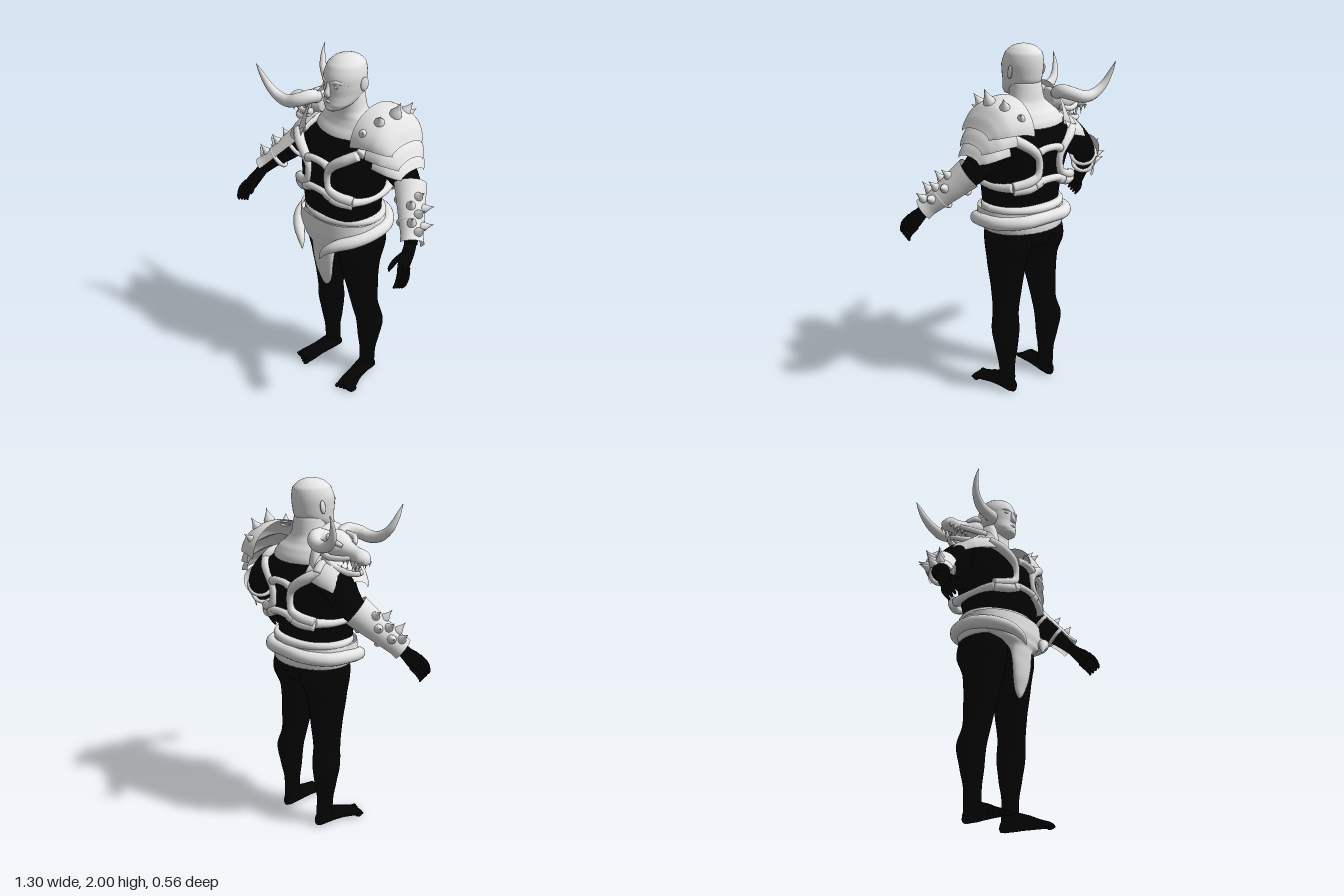
import * as THREE from 'three';

const V = (x, y, z) => new THREE.Vector3(x, y, z);
const X = V(1, 0, 0), Y = V(0, 1, 0), Z = V(0, 0, 1);

// Smooth skin over points [x, y, z, a, b]: b runs along ref, a across it.
// A fixed axis keeps the rings parallel; arc < 2PI leaves an open shell centred on ref.
function loft(points, { ref, axis, arc = Math.PI * 2, power = 1, n = 24, steps = points.length * 5, closed = false } = {}) {
  const path = new THREE.CatmullRomCurve3(points.map(p => V(p[0], p[1], p[2])), closed);
  const radii = new THREE.CatmullRomCurve3(points.map(p => V(p[3], p[4] ?? p[3], 0)), closed, 'catmullrom', 0.4);
  const frames = ref ? null : path.computeFrenetFrames(steps, closed);
  const open = arc < 6.28, row = open ? n + 1 : n, pos = [], idx = [];
  const soft = c => Math.sign(c) * Math.abs(c) ** power;
  for (let i = 0; i <= steps; i++) {
    const f = i / steps, c = path.getPointAt(f), r = radii.getPoint(path.getUtoTmapping(f, 0));
    let u, v;
    if (ref) {
      const t = axis ? axis.clone() : path.getTangentAt(f);
      u = ref.clone().cross(t).normalize();
      v = t.clone().cross(u).normalize();
    } else { u = frames.normals[i]; v = frames.binormals[i]; }
    for (let j = 0; j < row; j++) {
      const w = Math.PI / 2 + (j / n - 0.5) * arc;
      const p = c.clone().addScaledVector(u, soft(Math.cos(w)) * Math.max(r.x, 0)).addScaledVector(v, soft(Math.sin(w)) * Math.max(r.y, 0));
      pos.push(p.x, p.y, p.z);
    }
  }
  for (let i = 0; i < steps; i++) for (let j = 0; j < n; j++) {
    const a = i * row + j, b = i * row + (j + 1) % row;
    idx.push(a, b, a + row, b, b + row, a + row);
  }
  if (!open && !closed) { // end caps
    const s = pos.length / 3, last = steps * row, e = points[points.length - 1];
    pos.push(...points[0].slice(0, 3), ...e.slice(0, 3));
    for (let j = 0; j < n; j++) {
      const k = (j + 1) % n;
      idx.push(s, k, j, s + 1, last + j, last + k);
    }
  }
  const g = new THREE.BufferGeometry();
  g.setAttribute('position', new THREE.Float32BufferAttribute(pos, 3));
  g.setIndex(idx);
  g.computeVertexNormals();
  return g;
}

export function createModel() {
  const root = new THREE.Group();
  const black = new THREE.MeshStandardMaterial({ color: 0x030303, side: THREE.DoubleSide });
  black.name = 'black suit';
  const grey = new THREE.MeshStandardMaterial({ color: 0xe4e4e4, side: THREE.DoubleSide });
  grey.name = 'pale grey';
  const add = (name, geo, mat = grey) => {
    const m = new THREE.Mesh(geo, mat);
    m.name = name;
    root.add(m);
    return m;
  };
  const flip = (pts, s) => pts.map(p => [p[0] * s, ...p.slice(1)]);
  const upright = { ref: Z, axis: Y, n: 36 };
  const ball = (name, p, r, mat) => {
    const m = add(name, new THREE.SphereGeometry(1, 20, 14), mat);
    m.position.set(...p);
    m.scale.set(...r);
    return m;
  };
  const spikeShape = new THREE.LatheGeometry([[0.5, -0.1], [0.48, 0.12], [0.3, 0.36], [0.12, 0.68], [0, 1]].map(p => new THREE.Vector2(...p)), 12);
  const spike = (name, p, dir, w, h) => {
    const m = add(name, spikeShape);
    m.position.copy(p);
    m.quaternion.setFromUnitVectors(Y, dir.clone().normalize());
    m.scale.set(w, h, w);
  };

  // Torso and pelvis, then the bare neck and upper chest
  add('torso', loft([[0, 0.9, -0.01, 0.19, 0.13], [0, 0.97, -0.01, 0.225, 0.165], [0, 1.15, 0.015, 0.222, 0.175], [0, 1.3, 0.008, 0.232, 0.197],
    [0, 1.42, -0.01, 0.25, 0.206], [0, 1.5, -0.028, 0.262, 0.2], [0, 1.56, -0.04, 0.245, 0.168], [0, 1.595, -0.045, 0.19, 0.118]], { ...upright, power: 0.85 }), black);
  add('neckAndChest', loft([[0, 1.575, -0.045, 0.222, 0.145], [0, 1.6, -0.048, 0.215, 0.138], [0, 1.64, -0.05, 0.185, 0.115], [0, 1.675, -0.042, 0.143, 0.095],
    [0, 1.71, -0.035, 0.104, 0.086], [0, 1.765, -0.028, 0.092, 0.085], [0, 1.8, -0.022, 0.087, 0.085], [0, 1.83, -0.015, 0.075, 0.075]], upright));

  // Head
  add('head', loft([[0, 1.722, 0.085, 0.022, 0.022], [0, 1.735, 0.072, 0.053, 0.048], [0, 1.765, 0.035, 0.082, 0.087], [0, 1.8, 0.006, 0.094, 0.111], [0, 1.85, 0.0, 0.102, 0.119],
    [0, 1.9, -0.004, 0.105, 0.12], [0, 1.95, -0.012, 0.093, 0.107], [0, 1.982, -0.014, 0.063, 0.073], [0, 1.995, -0.014, 0.032, 0.037], [0, 2, -0.014, 0.003, 0.003]], upright));
  add('nose', loft([[0, 1.878, 0.108, 0.01], [0, 1.845, 0.119, 0.013], [0, 1.818, 0.127, 0.019, 0.014], [0, 1.806, 0.115, 0.014]], { ref: Z, n: 14 }));
  add('lips', loft([[-0.034, 1.774, 0.102, 0.003], [0, 1.778, 0.119, 0.008, 0.008], [0.034, 1.774, 0.102, 0.003]], { n: 10 }));
  ball('chin', [0, 1.742, 0.1], [0.034, 0.02, 0.024]);
  for (const s of [1, -1]) {
    add('brow', loft(flip([[0.008, 1.876, 0.113, 0.008], [0.045, 1.884, 0.102, 0.011], [0.085, 1.87, 0.06, 0.005]], s), { n: 10 }));
    ball('eye', [s * 0.037, 1.857, 0.103], [0.017, 0.007, 0.01]);
    const ear = ball('ear', [s * 0.11, 1.86, -0.03], [0.01, 0.036, 0.022]);
    ear.rotation.set(-0.2, s * -0.35, 0);
  }

  // Limbs, mirrored
  const elbow = V(0.41, 1.37, -0.06), wrist = V(0.575, 1.185, 0.1);
  for (const s of [1, -1]) {
    add('leg', loft(flip([[0.115, 1.02, -0.01, 0.11, 0.15], [0.118, 0.93, -0.014, 0.113, 0.16], [0.118, 0.8, -0.002, 0.108, 0.117], [0.132, 0.63, -0.013, 0.08, 0.096], [0.145, 0.51, -0.022, 0.068, 0.084],
      [0.163, 0.4, -0.042, 0.08, 0.079], [0.157, 0.28, -0.042, 0.066, 0.063], [0.153, 0.18, -0.04, 0.05, 0.047], [0.15, 0.09, -0.04, 0.041, 0.052], [0.15, 0.03, -0.035, 0.042, 0.055]], s), upright), black);
    add('foot', loft(flip([[0.147, 0.025, -0.097, 0.02, 0.02], [0.148, 0.036, -0.075, 0.038, 0.034], [0.152, 0.05, -0.01, 0.042, 0.05], [0.163, 0.04, 0.07, 0.045, 0.04],
      [0.178, 0.025, 0.14, 0.058, 0.025], [0.187, 0.017, 0.185, 0.06, 0.017]], s), { ref: Y, axis: Z }), black);
    for (let i = 0; i < 5; i++)
      ball('toe', [s * (0.143 + i * 0.023), 0.014, 0.197 - i * 0.009], [0.0135 - i * 0.0005, 0.013, 0.024], black);
    add('arm', loft(flip([[0.17, 1.51, -0.045, 0.09, 0.085], [0.26, 1.49, -0.06, 0.095, 0.09], [0.34, 1.43, -0.075, 0.08, 0.08], [0.41, 1.37, -0.06, 0.065, 0.064],
      [0.47, 1.305, -0.005, 0.062, 0.06], [0.54, 1.23, 0.065, 0.043, 0.042], [0.578, 1.18, 0.105, 0.034, 0.032]], s), { ref: Z }), black);
    add('palm', loft(flip([[0.57, 1.195, 0.095, 0.03, 0.03], [0.588, 1.15, 0.135, 0.036, 0.03], [0.6, 1.11, 0.175, 0.046, 0.024], [0.608, 1.085, 0.195, 0.038, 0.018]], s), { ref: X }), black);
    for (let i = 0; i < 4; i++) { // fingers fan across the palm
      const k = i - 1.5, y = k * 0.016, z = k * 0.02;
      add('finger', loft(flip([[0.605, 1.1 + y, 0.182 + z, 0.013], [0.627, 1.06 + y, 0.212 + z, 0.0125], [0.628, 1.022 + y * 0.6, 0.232 + z, 0.011], [0.618, 1.002 + y * 0.6, 0.24 + z, 0.005]], s), { n: 10 }), black);
    }
    add('thumb', loft(flip([[0.578, 1.15, 0.15, 0.015], [0.56, 1.115, 0.2, 0.015], [0.55, 1.08, 0.225, 0.011], [0.55, 1.065, 0.232, 0.004]], s), { n: 10 }), black);

    // Spiked bracer with two straps
    const e = elbow.clone().multiply(V(s, 1, 1)), w = wrist.clone().multiply(V(s, 1, 1)), d = w.clone().sub(e).normalize();
    const out = V(s * 0.75, 0.66, -0.05).addScaledVector(d, -V(s * 0.75, 0.66, -0.05).dot(d)).normalize();
    const side = d.clone().cross(out);
    const at = (f, r) => [...e.clone().lerp(w, f).toArray(), r, r];
    add('bracer', loft([at(-0.06, 0.092), at(0.2, 0.083), at(0.6, 0.071), at(0.88, 0.062), at(1.02, 0.066)], { ref: out, axis: d, arc: 3.4 }));
    for (const f of [0.2, 0.62]) {
      const strap = add('bracerStrap', new THREE.TorusGeometry(0.073 - f * 0.02, 0.012, 10, 28));
      strap.position.copy(e).lerp(w, f);
      strap.quaternion.setFromUnitVectors(Z, d);
    }
    for (const [f, a] of [[0.25, 0.1], [0.42, 0.62], [0.42, -0.5], [0.56, 0.08], [0.72, 0.6], [0.74, -0.5], [0.87, 0.05]]) {
      const dir = out.clone().multiplyScalar(Math.cos(a)).addScaledVector(side, Math.sin(a));
      spike('bracerSpike', e.clone().lerp(w, f).addScaledVector(dir, 0.083 - f * 0.022), dir, 0.048, 0.06);
    }

    // Tusk wrapped round the hip, from the back to a drooping tip in front
    add('hipTusk', loft(flip([[-0.02, 1.085, -0.2, 0.034], [0.05, 1.085, -0.2, 0.035], [0.14, 1.08, -0.18, 0.036], [0.23, 1.07, -0.09, 0.037], [0.25, 1.065, 0.03, 0.037],
      [0.215, 1.045, 0.14, 0.036], [0.145, 1.015, 0.215, 0.031], [0.09, 0.97, 0.25, 0.019], [0.07, 0.925, 0.262, 0.003]], s), { n: 18 }));
  }

  // Belt and loincloth
  add('beltBand', loft([[0, 1.155, 0, 0.238, 0.19], [0, 1.1, 0, 0.25, 0.2], [0, 1.04, 0, 0.252, 0.205], [0, 1.005, -0.005, 0.24, 0.198]], upright));
  const loop = (y, rx, rz, r) => Array.from({ length: 12 }, (_, i) => [rx * Math.cos(i * Math.PI / 6), y, rz * Math.sin(i * Math.PI / 6), r]);
  add('beltRoll', loft(loop(1.135, 0.226, 0.182, 0.022), { closed: true, n: 14 }));
  add('loincloth', loft([[0, 1.13, 0.02, 0.25, 0.195], [0, 1.05, 0.04, 0.245, 0.18], [0, 0.99, 0.1, 0.175, 0.115], [0, 0.945, 0.15, 0.092, 0.055],
    [0, 0.87, 0.165, 0.077, 0.034], [0, 0.78, 0.16, 0.062, 0.03], [0, 0.715, 0.152, 0.042, 0.022], [0, 0.68, 0.15, 0.022, 0.014], [0, 0.665, 0.15, 0.003, 0.003]], { ref: Z, axis: Y.clone().negate(), arc: Math.PI, power: 0.9 }));

  // Bone harness: bowed bones framing a small open centre, front and back
  for (const f of [1, -1]) {
    const on = ([x, y, r]) => [x, y, (f > 0 ? 0.01 : -0.022) + f * (f > 0 ? 0.194 : 0.206) * Math.max(0, 1 - Math.abs(x / 0.27) ** 2.2) ** 0.45, r];
    const bone = pts => add('harnessBone', loft(pts.map(on), { n: 14 }));
    bone([[-0.075, 1.465, 0.024], [-0.04, 1.478, 0.02], [0.04, 1.478, 0.02], [0.075, 1.465, 0.024]]);
    bone([[-0.1, 1.29, 0.027], [-0.05, 1.308, 0.021], [0.05, 1.308, 0.021], [0.1, 1.29, 0.027]]);
    for (const s of [1, -1]) {
      bone(flip([[0.225, 1.555, 0.028], [0.17, 1.522, 0.029], [0.105, 1.475, 0.026], [0.076, 1.43, 0.02], [0.072, 1.375, 0.019], [0.085, 1.335, 0.022], [0.135, 1.308, 0.026], [0.205, 1.288, 0.027]], s));
      bone(flip([[0.06, 1.3, 0.022], [0.13, 1.275, 0.026], [0.205, 1.265, 0.025]], s));
    }
  }
  for (const s of [1, -1]) {
    add('ribStrap', loft(flip([[0.19, 1.277, 0.145, 0.027], [0.215, 1.27, 0.08, 0.023], [0.223, 1.265, 0, 0.021], [0.215, 1.268, -0.08, 0.023], [0.19, 1.277, -0.15, 0.027]], s), { n: 12 }));
    add('shoulderStrap', loft(flip([[0.22, 1.55, 0.115, 0.027], [0.21, 1.585, 0.05, 0.026], [0.205, 1.598, -0.04, 0.026], [0.21, 1.585, -0.13, 0.026], [0.22, 1.55, -0.16, 0.027]], s), { n: 12 }));
  }

  // Layered arches for the shoulders: [x, base y, centre z, half depth, height]
  const arch = (name, pts) => add(name, loft(pts, { ref: Y, axis: pts[0][0] > 0 ? X : X.clone().negate(), arc: Math.PI, n: 32 }));
  arch('pauldronTop', [[0.16, 1.575, -0.08, 0.205, 0.185], [0.22, 1.59, -0.08, 0.2, 0.165], [0.295, 1.59, -0.08, 0.182, 0.138], [0.345, 1.58, -0.075, 0.15, 0.09], [0.375, 1.57, -0.07, 0.11, 0.04]]);
  arch('pauldronMiddle', [[0.25, 1.535, -0.075, 0.185, 0.135], [0.33, 1.525, -0.075, 0.165, 0.105], [0.375, 1.51, -0.075, 0.13, 0.075], [0.405, 1.495, -0.07, 0.09, 0.04]]);
  arch('pauldronLower', [[0.28, 1.485, -0.075, 0.165, 0.115], [0.35, 1.47, -0.075, 0.148, 0.09], [0.395, 1.455, -0.075, 0.12, 0.06], [0.42, 1.445, -0.07, 0.085, 0.03]]);
  for (const [x, a, r] of [[0.22, 0.5, 0.05], [0.265, 1.0, 0.055], [0.285, 1.55, 0.065], [0.265, 2.1, 0.055], [0.22, 2.6, 0.05]])
    spike('pauldronSpike', V(x, 1.588 + 0.15 * Math.sin(a), -0.08 + 0.188 * Math.cos(a)), V(0.45, Math.sin(a), 0.7 * Math.cos(a)), r, r * 1.15);
  arch('skullMount', [[-0.155, 1.57, -0.01, 0.15, 0.22], [-0.18, 1.56, -0.01, 0.155, 0.19], [-0.2, 1.55, -0.01, 0.16, 0.13]]);
  arch('skullShoulderPlate', [[-0.16, 1.52, -0.01, 0.185, 0.125], [-0.24, 1.5, -0.015, 0.17, 0.12], [-0.31, 1.48, -0.025, 0.14, 0.095], [-0.36, 1.46, -0.03, 0.095, 0.055]]);

  // Horned beast skull on the right shoulder
  const zc = -0.02;
  add('skull', loft([[-0.16, 1.685, zc, 0.05, 0.055], [-0.2, 1.69, zc, 0.08, 0.07], [-0.25, 1.68, zc, 0.073, 0.063], [-0.29, 1.668, zc, 0.052, 0.05],
    [-0.35, 1.655, zc, 0.042, 0.04], [-0.41, 1.645, zc, 0.045, 0.037], [-0.442, 1.635, zc, 0.02, 0.018]], { ref: Y, axis: X.clone().negate() }));
  for (const s of [1, -1]) {
    const zs = pts => pts.map(([x, y, z, r]) => [x, y, zc + s * z, r]);
    add('skullHorn', loft(zs([[-0.19, 1.72, 0.04, 0.034], [-0.18, 1.74, 0.1, 0.037], [-0.21, 1.728, 0.152, 0.036], [-0.27, 1.71, 0.175, 0.033],
      [-0.34, 1.72, 0.182, 0.028], [-0.395, 1.765, 0.197, 0.021], [-0.422, 1.83, 0.22, 0.013], [-0.432, 1.89, 0.245, 0.002]]), { n: 18, steps: 48 }));
    add('cheekBone', loft(zs([[-0.19, 1.65, 0.085, 0.018], [-0.25, 1.635, 0.085, 0.016], [-0.31, 1.635, 0.06, 0.015], [-0.35, 1.64, 0.035, 0.012]]), { n: 10 }));
    add('browRidge', loft(zs([[-0.21, 1.735, 0.065, 0.014], [-0.26, 1.72, 0.075, 0.016], [-0.3, 1.695, 0.045, 0.01]]), { n: 10 }));
    add('lowerJaw', loft(zs([[-0.2, 1.63, 0.075, 0.022], [-0.25, 1.585, 0.065, 0.022], [-0.32, 1.565, 0.045, 0.018], [-0.375, 1.56, 0.018, 0.014], [-0.385, 1.562, 0, 0.013]]), { n: 10 }));
    for (let i = 0; i < 5; i++) {
      const x = -0.3 - i * 0.03, fang = i === 3 ? 0.05 : 0.028;
      spike('upperTooth', V(x, 1.625, zc + s * 0.034), V(0, -1, 0), 0.018, fang);
      if (i < 3) spike('lowerTooth', V(x, 1.575, zc + s * (0.048 - i * 0.012)), Y, 0.016, i === 2 ? 0.045 : 0.026);
    }
  }
  return root;
}
